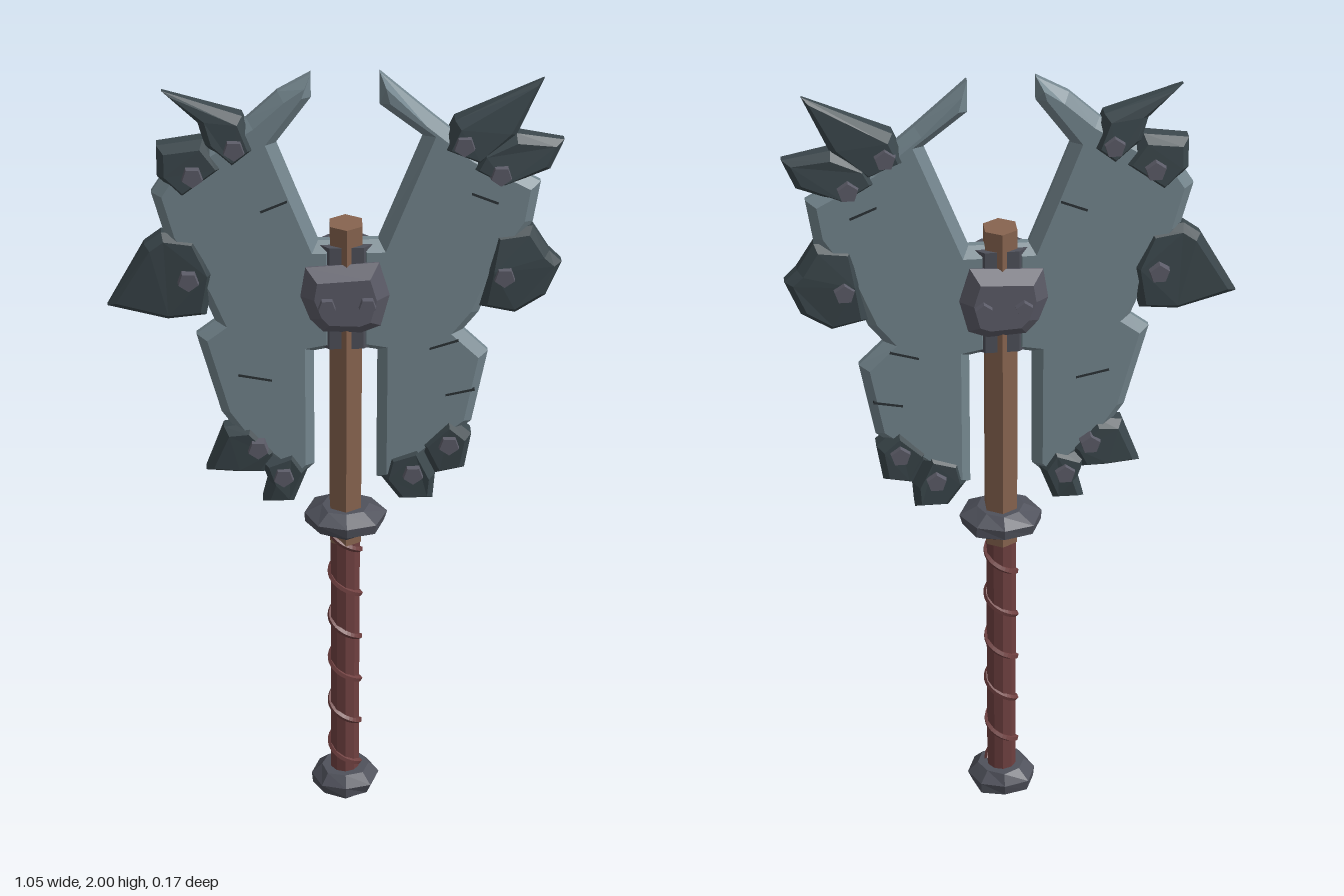
import * as THREE from 'three';

const mat = (color) => new THREE.MeshStandardMaterial({ color, flatShading: true });
const steel = mat(0x74868e), darkSteel = mat(0x3b474c), iron = mat(0x5c5c68);
const stone = mat(0x4f515b), wood = mat(0x87644f), leather = mat(0x6f4040), dark = mat(0x2b3236);
const AXIS = 0.025; // the shaft stands slightly off centre

// Symmetric bevelled slab whose outer silhouette is exactly the outline.
function slab(points, half, bevelSize, bevelThickness) {
  const shape = new THREE.Shape(points.map(([x, y]) => new THREE.Vector2(x, y)));
  const depth = 2 * (half - bevelThickness);
  return new THREE.ExtrudeGeometry(shape, {
    depth, bevelEnabled: true, bevelSize, bevelThickness, bevelOffset: -bevelSize, bevelSegments: 1,
  }).translate(0, 0, -depth / 2);
}

// Move every vertex by a rule.
function reshape(geometry, rule) {
  const p = geometry.attributes.position, v = new THREE.Vector3();
  for (let i = 0; i < p.count; i++) {
    rule(v.fromBufferAttribute(p, i));
    p.setXYZ(i, v.x, v.y, v.z);
  }
  geometry.computeVertexNormals();
  return geometry;
}

export function createModel() {
  const root = new THREE.Group();
  const add = (name, geometry, material, parent = root) => {
    const mesh = new THREE.Mesh(geometry, material);
    mesh.name = name;
    parent.add(mesh);
    return mesh;
  };

  // Hexagonal wooden shaft
  add('shaft', new THREE.CylinderGeometry(0.043, 0.043, 0.86, 6), wood).position.set(AXIS, 1.19, 0);

  // Leather grip with a spiral binding
  add('grip', new THREE.CylinderGeometry(0.037, 0.037, 0.76, 10), leather).position.set(AXIS, 0.43, 0);
  const helix = [];
  for (let i = 0; i <= 72; i++) {
    const a = (i / 72) * Math.PI * 2 * 5.5;
    helix.push(new THREE.Vector3(AXIS + 0.036 * Math.cos(a), 0.08 + (0.71 * i) / 72, 0.036 * Math.sin(a)));
  }
  add('gripBinding', new THREE.TubeGeometry(new THREE.CatmullRomCurve3(helix), 144, 0.008, 5), leather);

  // Rough-cut stone rings at both ends of the grip
  const stoneRing = (name, profile) => {
    const lathe = new THREE.LatheGeometry(profile.map(([r, y]) => new THREE.Vector2(r, y)), 8);
    reshape(lathe, (v) => {
      const k = 1 + 0.06 * Math.sin(v.x * 60 + v.z * 35 + v.y * 40);
      v.x *= k;
      v.z *= k * 0.95;
    });
    add(name, lathe, stone).position.x = AXIS;
  };
  stoneRing('pommel', [[0, 0], [0.055, 0], [0.078, 0.016], [0.084, 0.045], [0.06, 0.073], [0, 0.073]]);
  stoneRing('guard', [[0, 0.79], [0.06, 0.79], [0.093, 0.81], [0.096, 0.835], [0.058, 0.858], [0, 0.858]]);

  // Two chipped blades, thinning away from the shaft
  const blades = {
    rightBlade: [[-0.055, 1.997], [-0.13, 1.955], [-0.2, 1.89], [-0.385, 1.765], [-0.42, 1.71], [-0.39, 1.595],
      [-0.31, 1.45], [-0.28, 1.375], [-0.325, 1.34], [-0.27, 1.13], [-0.23, 1.07], [-0.09, 0.94], [-0.05, 0.98],
      [-0.05, 1.29], [0, 1.3], [0, 1.58], [-0.04, 1.58], [-0.09, 1.71], [-0.135, 1.83], [-0.055, 1.94]],
    leftBlade: [[0.1, 1.997], [0.22, 1.89], [0.325, 1.8], [0.47, 1.72], [0.455, 1.62], [0.38, 1.5], [0.335, 1.385],
      [0.3, 1.34], [0.36, 1.28], [0.325, 1.09], [0.13, 0.935], [0.1, 0.94], [0.1, 1.29], [0.05, 1.3], [0.05, 1.58],
      [0.1, 1.58], [0.2, 1.84], [0.1, 1.92]],
  };
  for (const [name, outline] of Object.entries(blades)) {
    const geometry = slab(outline, 0.034, 0.022, 0.026);
    add(name, reshape(geometry, (v) => { v.z *= 1.05 - 0.5 * Math.abs(v.x - AXIS); }), steel);
  }

  // Thin dark cracks running in from the blade edges: x, y, length, tilt
  const cracks = [[-0.18, 1.23, 0.1, -0.2], [-0.14, 1.68, 0.07, 0.4], [0.29, 1.18, 0.08, 0.2],
    [0.34, 1.69, 0.07, -0.4], [0.25, 1.31, 0.08, 0.3]];
  for (const [x, y, length, tilt] of cracks) {
    const thickness = 0.068 * (1.05 - 0.5 * Math.abs(x - AXIS)) + 0.001;
    const crack = add('crack', new THREE.BoxGeometry(length, 0.006, thickness), dark);
    crack.position.set(x, y, 0);
    crack.rotation.z = tilt;
  }

  // A five-sided stud that passes through to both faces
  const stud = (x, y, half, radius, parent) => {
    for (const side of [1, -1]) {
      const geometry = new THREE.CylinderGeometry(radius * 0.75, radius, half, 5);
      geometry.translate(0, half / 2, 0).rotateX((side * Math.PI) / 2);
      add('stud', geometry, iron, parent).position.set(x, y, 0);
    }
  };

  // Jagged edge plates, thickest at the stud and sharpening to their tips
  const spikes = [
    { at: [-0.23, 1.83], outline: [[-0.39, 1.96], [-0.21, 1.9], [-0.18, 1.82], [-0.235, 1.775], [-0.295, 1.83], [-0.31, 1.885]] },
    { at: [-0.325, 1.765], outline: [[-0.405, 1.83], [-0.3, 1.845], [-0.25, 1.775], [-0.35, 1.7], [-0.405, 1.755]] },
    { at: [-0.34, 1.5], outline: [[-0.53, 1.42], [-0.44, 1.58], [-0.4, 1.61], [-0.32, 1.6], [-0.28, 1.51], [-0.3, 1.395], [-0.39, 1.385]] },
    { at: [-0.185, 1.045], outline: [[-0.31, 0.97], [-0.265, 1.09], [-0.2, 1.1], [-0.14, 1.03], [-0.17, 0.965], [-0.23, 0.965]] },
    { at: [-0.125, 0.965], outline: [[-0.18, 1.0], [-0.1, 1.03], [-0.065, 0.975], [-0.1, 0.88], [-0.175, 0.88], [-0.16, 0.94]] },
    { at: [0.29, 1.83], outline: [[0.47, 1.975], [0.41, 1.84], [0.33, 1.77], [0.24, 1.81], [0.27, 1.88]] },
    { at: [0.375, 1.755], outline: [[0.52, 1.825], [0.41, 1.845], [0.33, 1.81], [0.305, 1.76], [0.385, 1.715], [0.49, 1.755]] },
    { at: [0.39, 1.495], outline: [[0.365, 1.6], [0.455, 1.61], [0.495, 1.545], [0.525, 1.515], [0.49, 1.43], [0.42, 1.385], [0.335, 1.405], [0.35, 1.51]] },
    { at: [0.27, 1.045], outline: [[0.2, 1.04], [0.27, 1.11], [0.325, 1.06], [0.31, 0.965], [0.24, 0.95]] },
    { at: [0.185, 0.965], outline: [[0.125, 1.01], [0.2, 1.035], [0.24, 0.95], [0.235, 0.88], [0.155, 0.88], [0.11, 0.945]] },
  ];
  for (const { at: [x, y], outline } of spikes) {
    const group = new THREE.Group();
    group.name = 'edgeSpike';
    root.add(group);
    const geometry = reshape(slab(outline, 0.052, 0.016, 0.03), (v) => {
      v.z *= Math.max(0.12, 1 - 3.6 * Math.hypot(v.x - x, v.y - y));
    });
    add('spikePlate', geometry, darkSteel, group);
    stud(x, y, 0.055, 0.032, group);
  }

  // Collar joining the blades to the shaft
  const collar = new THREE.CylinderGeometry(0.1, 0.1, 0.265, 6).rotateY(Math.PI / 6);
  add('collar', collar.scale(0.8, 1, 0.42), stone).position.set(AXIS, 1.44, 0);

  // Faceted clamp through the middle with two studs per face
  const clampOutline = [[-0.07, 1.525], [0.1, 1.535], [0.125, 1.45], [0.105, 1.37], [0.06, 1.352], [-0.03, 1.357], [-0.06, 1.39], [-0.082, 1.45]];
  add('clamp', slab(clampOutline, 0.066, 0.03, 0.028), iron);
  for (const x of [-0.022, 0.072]) stud(x, 1.44, 0.08, 0.027, root);

  return root;
}
